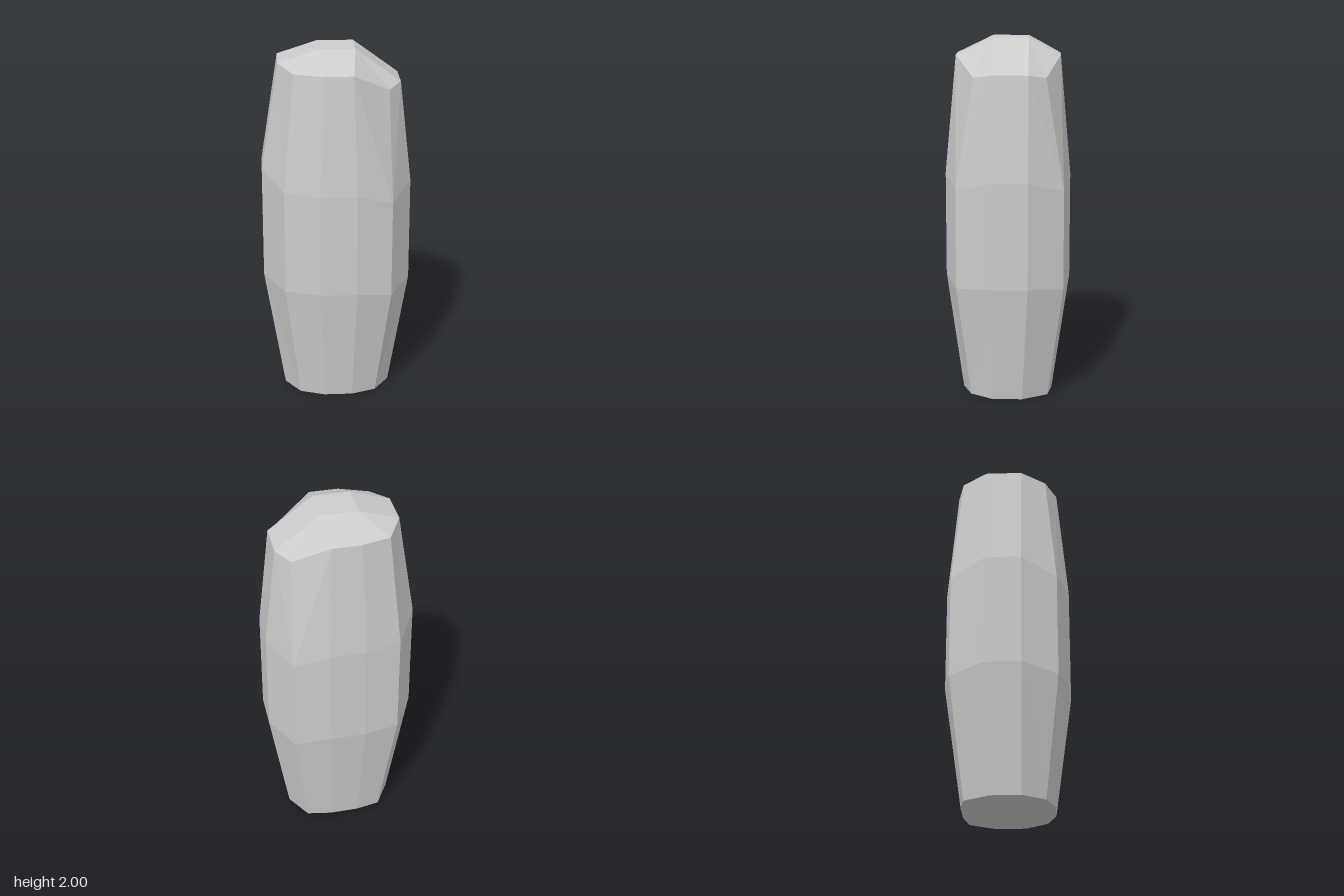
import * as THREE from 'three';

// Each ring has 12 corners [x, y, z], running front -> left (+x) -> back -> right
const ring = (xs, ys, zs) => {
  const [xa, xb, xc, xd, xe] = xs; // inner, left corner, left side, right corner, right side
  const [yf, yb, yc, yd, ye] = ys; // heights in the same order
  const [f, fc, fs, bs, bc, b] = zs; // front to back
  return [
    [xa, yf, f], [xb, yb, fc], [xc, yc, fs], [xc, yc, bs], [xb, yb, bc], [xa, yf, b],
    [-xa, yf, b], [-xd, yd, bc], [-xe, ye, bs], [-xe, ye, fs], [-xd, yd, fc], [-xa, yf, f],
  ];
};

export function createModel() {
  const bodyX = [0.1, 0.295, 0.41, 0.295, 0.413];
  const bodyZ = [0.345, 0.28, 0.085, -0.115, -0.31, -0.347];
  const rings = [
    ring([0.08, 0.215, 0.3, 0.215, 0.3], [0, 0, 0, 0, 0], [0.253, 0.205, 0.08, -0.085, -0.228, -0.252]),
    ring(bodyX, [0.675, 0.64, 0.665, 0.675, 0.7], bodyZ),
    ring(bodyX, [1.255, 1.19, 1.25, 1.26, 1.33], bodyZ),
    ring([0.08, 0.277, 0.346, 0.238, 0.318], [1.905, 1.8, 1.82, 1.905, 1.93], [0.285, 0.18, 0.085, -0.115, -0.21, -0.29]),
  ];
  // The right rear and right front corners of the crown reach further out
  rings[3][7][2] = -0.252;
  rings[3][10][2] = 0.222;

  const pos = [];
  const tri = (a, b, c) => pos.push(...a, ...b, ...c);
  const quad = (a, b, c, d) => { tri(a, b, c); tri(a, c, d); };

  // Faceted sides; diagonals start at the lower corner points
  for (let r = 0; r < 3; r++) {
    const lo = rings[r], up = rings[r + 1];
    for (let i = 0; i < 12; i++) {
      const j = (i + 1) % 12;
      if (j % 3 === 1) quad(lo[j], up[j], up[i], lo[i]);
      else quad(lo[i], lo[j], up[j], up[i]);
    }
  }

  // Crown: flat centre, four sloping sides and four corner facets
  const t = rings[3];
  const c = [[0.1, 2, 0.085], [0.1, 2, -0.115], [-0.1, 2, -0.115], [-0.1, 2, 0.085]];
  quad(c[0], c[1], c[2], c[3]);
  for (let k = 0; k < 4; k++) {
    const s = k * 3, n = (k + 1) % 4;
    quad(c[k], t[s], t[s + 1], t[s + 2]);
    quad(c[k], t[s + 2], t[(s + 3) % 12], c[n]);
  }

  // Flat underside
  for (let i = 1; i < 11; i++) tri(rings[0][0], rings[0][i + 1], rings[0][i]);

  const geometry = new THREE.BufferGeometry();
  geometry.setAttribute('position', new THREE.Float32BufferAttribute(pos, 3));
  geometry.computeVertexNormals();

  const body = new THREE.Mesh(geometry, new THREE.MeshStandardMaterial({ color: 0xcccccc, flatShading: true }));
  body.name = 'facetedBody';
  const group = new THREE.Group();
  group.name = 'facetedPillar';
  group.add(body);
  return group;
}
